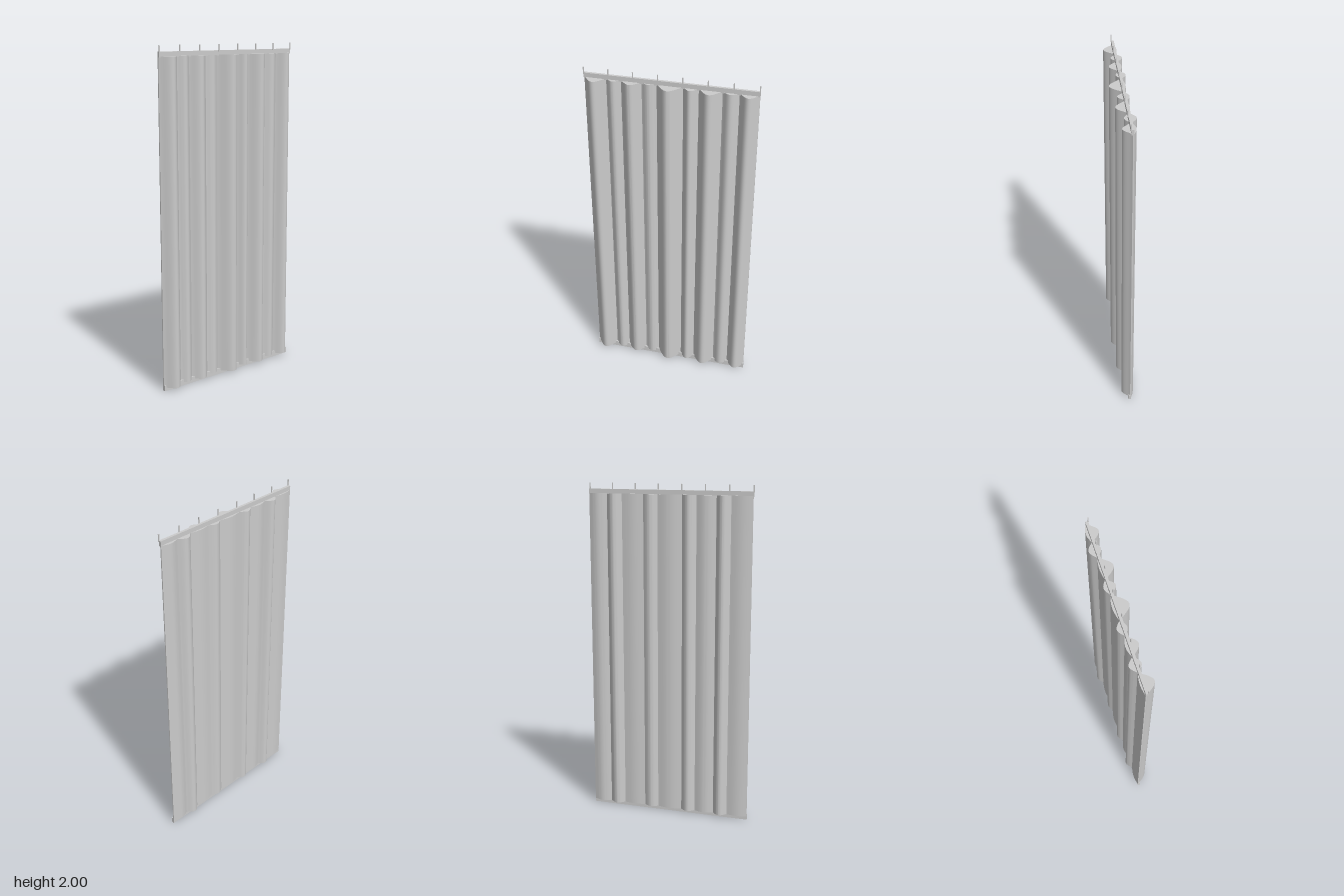
import * as THREE from 'three';
import { toCreasedNormals } from 'three/addons/utils/BufferGeometryUtils.js';

export function createModel() {
  const group = new THREE.Group();
  const material = new THREE.MeshStandardMaterial({ color: 0xcccccc, side: THREE.DoubleSide });
  const add = (name, geometry, x, y, z) => {
    const mesh = new THREE.Mesh(geometry, material);
    mesh.name = name;
    mesh.position.set(x, y, z);
    group.add(mesh);
  };

  // Pinch lines between the folds, and how far each fold bulges to front and back
  const pinch = [-0.49, -0.365, -0.28, -0.163, -0.078, 0.071, 0.157, 0.288, 0.38, 0.49];
  const frontPeak = [0.044, 0.012, 0.032, 0.005, 0.054, 0.022, 0.044, 0.012, 0.032];
  const backPeak = [-0.032, -0.054, -0.038, -0.05, -0.036, -0.044, -0.032, -0.054, -0.039];
  const frontBase = -0.016, backBase = -0.023, steps = 14;

  // One side of the pleated cross-section, from left to right
  const side = (peaks, base, power) => {
    const points = [];
    peaks.forEach((peak, i) => {
      for (let k = i ? 1 : 0; k <= steps; k++) {
        const t = k / steps;
        const bulge = Math.pow(Math.max(0, Math.sin(Math.PI * t)), power);
        const z = base + (peak - base) * bulge;
        points.push(new THREE.Vector2(THREE.MathUtils.lerp(pinch[i], pinch[i + 1], t), -z));
      }
    });
    return points;
  };

  // Pleated curtain cloth
  const section = new THREE.Shape([
    ...side(frontPeak, frontBase, 1.25),
    ...side(backPeak, backBase, 1.1).reverse(),
  ]);
  const cloth = new THREE.ExtrudeGeometry(section, { depth: 1.92, bevelEnabled: false });
  cloth.rotateX(-Math.PI / 2);
  add('pleatedCloth', toCreasedNormals(cloth, 0.45), 0, 0.02, 0);

  // Heading tape at the top and hem band at the bottom
  add('headingTape', new THREE.BoxGeometry(0.982, 0.03, 0.015), 0, 1.95, -0.0155);
  add('hemBand', new THREE.BoxGeometry(0.982, 0.035, 0.018), 0, 0.0175, -0.014);

  // Row of hanging hooks
  for (let i = 0; i < 8; i++) {
    add('hook' + (i + 1), new THREE.BoxGeometry(0.006, 0.042, 0.005), -0.49 + i * 0.14, 1.979, -0.0075);
  }
  return group;
}
